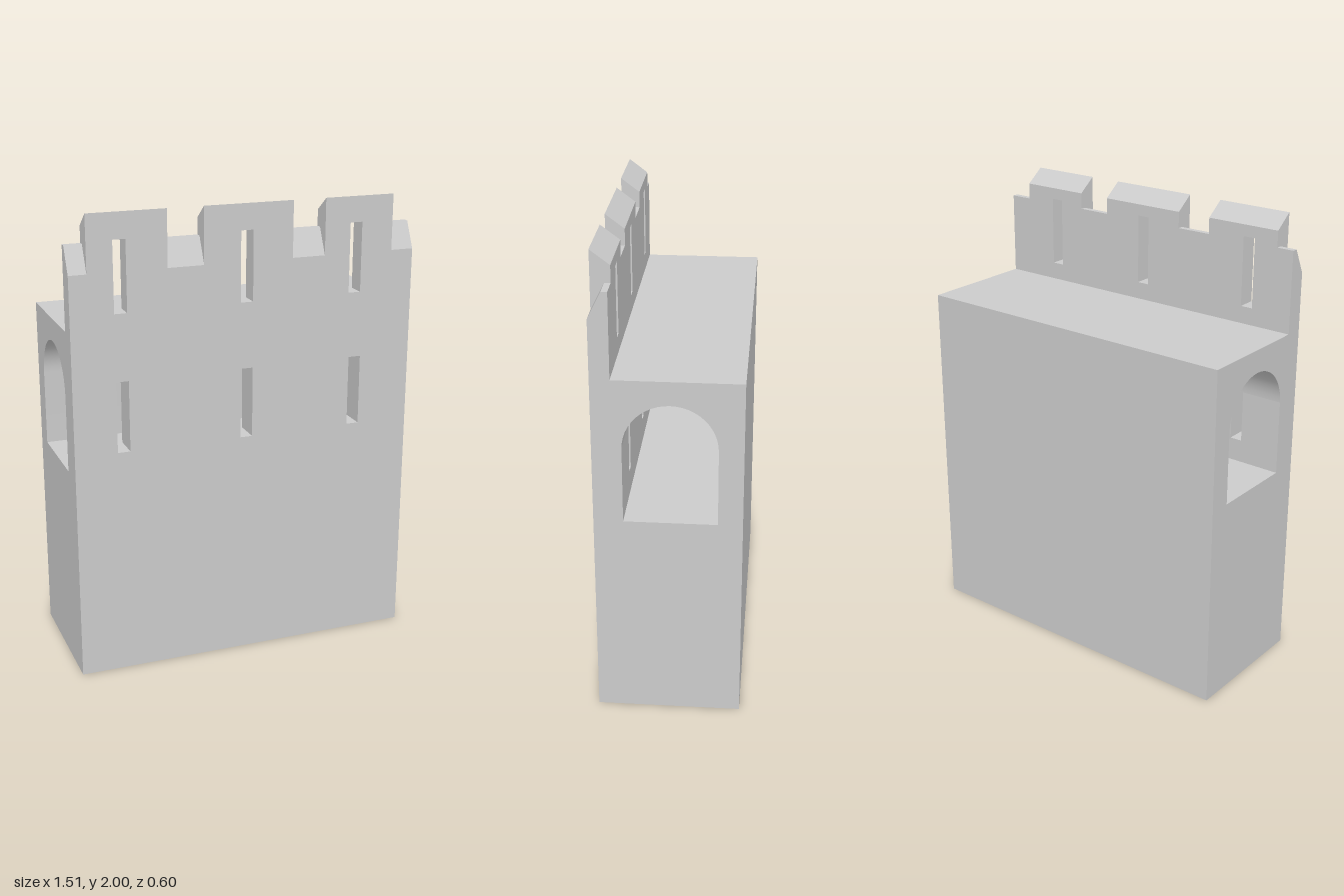
import * as THREE from 'three';
import { toCreasedNormals } from 'three/addons/utils/BufferGeometryUtils.js';

const W = 0.755, F = 0.30, B = -0.30;            // half width, front and back z
const ROOF = 1.515, PARAPET = 0.22, INNER = 0.18; // roof height, parapet back z, passage front z
const merlons = [[-0.68, -0.345], [-0.19, 0.20], [0.345, 0.655]];
const crenels = [[-W, -0.68], [-0.345, -0.19], [0.20, 0.345], [0.655, W]];
const crenelProfile = [[PARAPET, 1.87], [0.245, 1.87], [F, 1.76]];
const upperSlits = [-0.545, -0.003, 0.487].map(x => [x - 0.027, x + 0.027, 1.59, 1.89]);
const lowerSlits = [-0.545, -0.003, 0.497].map(x => [x - 0.027, x + 0.027, 1.0, 1.305]);

export function createModel() {
  const group = new THREE.Group();
  const material = new THREE.MeshStandardMaterial({ color: 0xcccccc });
  const add = (name, geometry) => {
    const mesh = new THREE.Mesh(geometry, material);
    mesh.name = name;
    group.add(mesh);
  };

  // Sweep a line of [x, y, z] points along an offset
  const sweep = (name, points, offset) => {
    const pos = [];
    for (let i = 0; i + 1 < points.length; i++) {
      const a = points[i], b = points[i + 1];
      const c = b.map((v, k) => v + offset[k]), d = a.map((v, k) => v + offset[k]);
      pos.push(...a, ...b, ...c, ...a, ...c, ...d);
    }
    const g = new THREE.BufferGeometry();
    g.setAttribute('position', new THREE.Float32BufferAttribute(pos, 3));
    add(name, toCreasedNormals(g, 0.5));
  };
  // Sweep a [z, y] profile from x0 to x1
  const strip = (name, profile, x0, x1) =>
    sweep(name, profile.map(([z, y]) => [x0, y, z]), [x1 - x0, 0, 0]);

  // Flat panel with holes; flipped panels face the other way
  const panel = (outline, holes, flip) => {
    const toPoints = list => list.map(p => new THREE.Vector2(...p));
    const shape = new THREE.Shape(toPoints(outline));
    shape.holes = holes.map(h => new THREE.Path(toPoints(h)));
    let g = new THREE.ShapeGeometry(shape);
    if (flip) g.index.array.reverse();
    g = g.toNonIndexed();
    g.computeVertexNormals();
    return g;
  };
  const facing = (name, outline, holes, z, flip) =>
    add(name, panel(outline, holes, flip).translate(0, 0, z));
  const sideways = (name, outline, holes, x, flip) =>
    add(name, panel(outline, holes, flip).rotateY(-Math.PI / 2).translate(x, 0, 0));
  const rect = ([x0, x1, y0, y1]) => [[x0, y0], [x0, y1], [x1, y1], [x1, y0]];

  // Battlement outline, stepping from crenel height to merlon height
  const battlement = (base, low, high) => {
    const pts = [[W, base], [-W, base], [-W, low]];
    for (const [a, b] of merlons) pts.push([a, low], [a, high], [b, high], [b, low]);
    return [...pts, [W, low]];
  };

  // Main block: underside, back and roof
  strip('blockShell', [[F, 0], [B, 0], [B, ROOF], [PARAPET, ROOF]], -W, W);
  facing('frontWall', battlement(0, 1.76, 2), [...upperSlits, ...lowerSlits].map(rect), F, false);
  facing('parapetBack', battlement(ROOF, 1.87, 1.94), upperSlits.map(rect), PARAPET, true);

  // Arched passage running through the block
  const arch = [];
  for (let i = 0; i <= 24; i++) {
    const a = Math.PI * i / 24;
    arch.push([-0.01 + 0.19 * Math.cos(a), 1.225 + 0.19 * Math.sin(a)]);
  }
  const passage = [...arch, [-0.20, 0.90], [INNER, 0.90]];
  strip('passageVault', passage, -W, W);
  facing('passageFrontWall', rect([-W, W, 0.90, 1.225]),
    lowerSlits.map(([a, b, y0]) => rect([a, b, y0, 1.2249])), INNER, true);

  // End walls with the arched opening
  const endOutline = [[B, 0], [F, 0], ...[...crenelProfile].reverse(), [PARAPET, ROOF], [B, ROOF]];
  sideways('rightEndWall', endOutline, [passage], -W, false);
  sideways('leftEndWall', endOutline, [passage], W, true);

  // Sloped merlon tops and cheeks
  for (const [a, b] of merlons) {
    strip('merlonTop', [[PARAPET, 1.94], [F, 2]], a, b);
    const cheek = [...crenelProfile, [F, 2], [PARAPET, 1.94]];
    sideways('merlonCheek', cheek, [], a, false);
    sideways('merlonCheek', cheek, [], b, true);
  }
  // Bevelled crenel sills
  for (const [a, b] of crenels) strip('crenelSill', crenelProfile, a, b);

  // Arrow slit linings
  const lining = (slit, z) => {
    const r = rect(slit);
    sweep('arrowSlit', [...r, r[0]].map(([x, y]) => [x, y, z]), [0, 0, F - z]);
  };
  upperSlits.forEach(s => lining(s, PARAPET));
  lowerSlits.forEach(s => lining(s, INNER));

  return group;
}
